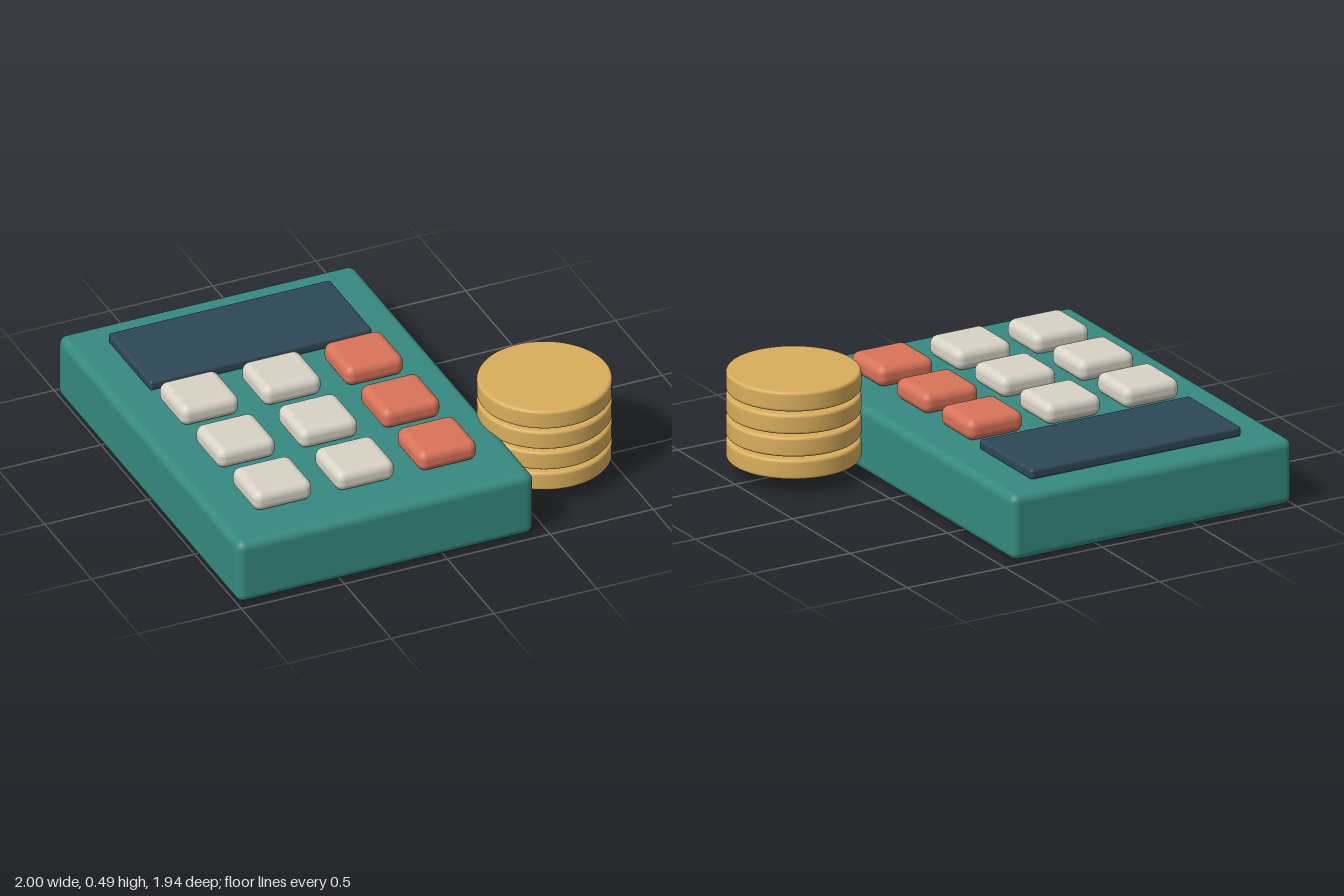
import * as THREE from 'three';
import { RoundedBoxGeometry } from 'three/addons/geometries/RoundedBoxGeometry.js';

function material(name, color) {
  const m = new THREE.MeshStandardMaterial({ color });
  m.name = name;
  return m;
}

export function createModel() {
  const model = new THREE.Group();
  model.name = 'calculatorWithCoins';

  const teal = material('teal', 0x368a80);
  const navy = material('navy', 0x2e4756);
  const cream = material('cream', 0xd8d3c6);
  const coral = material('coral', 0xd9735a);
  const gold = material('gold', 0xd9ae5c);

  function add(name, geometry, mat, x, y, z) {
    const mesh = new THREE.Mesh(geometry, mat);
    mesh.name = name;
    mesh.position.set(x, y, z);
    model.add(mesh);
  }

  // Body and display
  add('body', new RoundedBoxGeometry(1.44, 0.31, 1.94, 4, 0.04), teal, -0.28, 0.155, 0);
  add('screen', new RoundedBoxGeometry(1.08, 0.05, 0.455, 3, 0.015), navy, -0.28, 0.33, -0.595);

  // Keypad: three rows, the last column in coral
  const keyGeometry = new RoundedBoxGeometry(0.284, 0.1, 0.272, 4, 0.04);
  for (let row = 0; row < 3; row++) {
    for (let col = 0; col < 3; col++) {
      add(`key${row + 1}${col + 1}`, keyGeometry, col === 2 ? coral : cream,
        -0.68 + col * 0.4, 0.358, -0.155 + row * 0.39);
    }
  }

  // Coin profile with softly rounded rims
  const radius = 0.3, half = 0.046, bevel = 0.014;
  const profile = [new THREE.Vector2(0, -half), new THREE.Vector2(radius - bevel - 0.004, -half)];
  for (const side of [-1, 1]) {
    for (let i = 0; i <= 4; i++) {
      const a = (side < 0 ? i - 4 : i) * Math.PI / 8;
      profile.push(new THREE.Vector2(
        radius - bevel + bevel * Math.cos(a),
        side * (half - bevel) + bevel * Math.sin(a)));
    }
  }
  profile.push(new THREE.Vector2(radius - bevel - 0.004, half), new THREE.Vector2(0, half));
  const coinGeometry = new THREE.LatheGeometry(profile, 64);

  // Stack of coins beside the body
  for (let i = 0; i < 4; i++) {
    add(`coin${i + 1}`, coinGeometry, gold, 0.7, 0.122 + i * 0.1067, 0.5);
  }

  return model;
}
